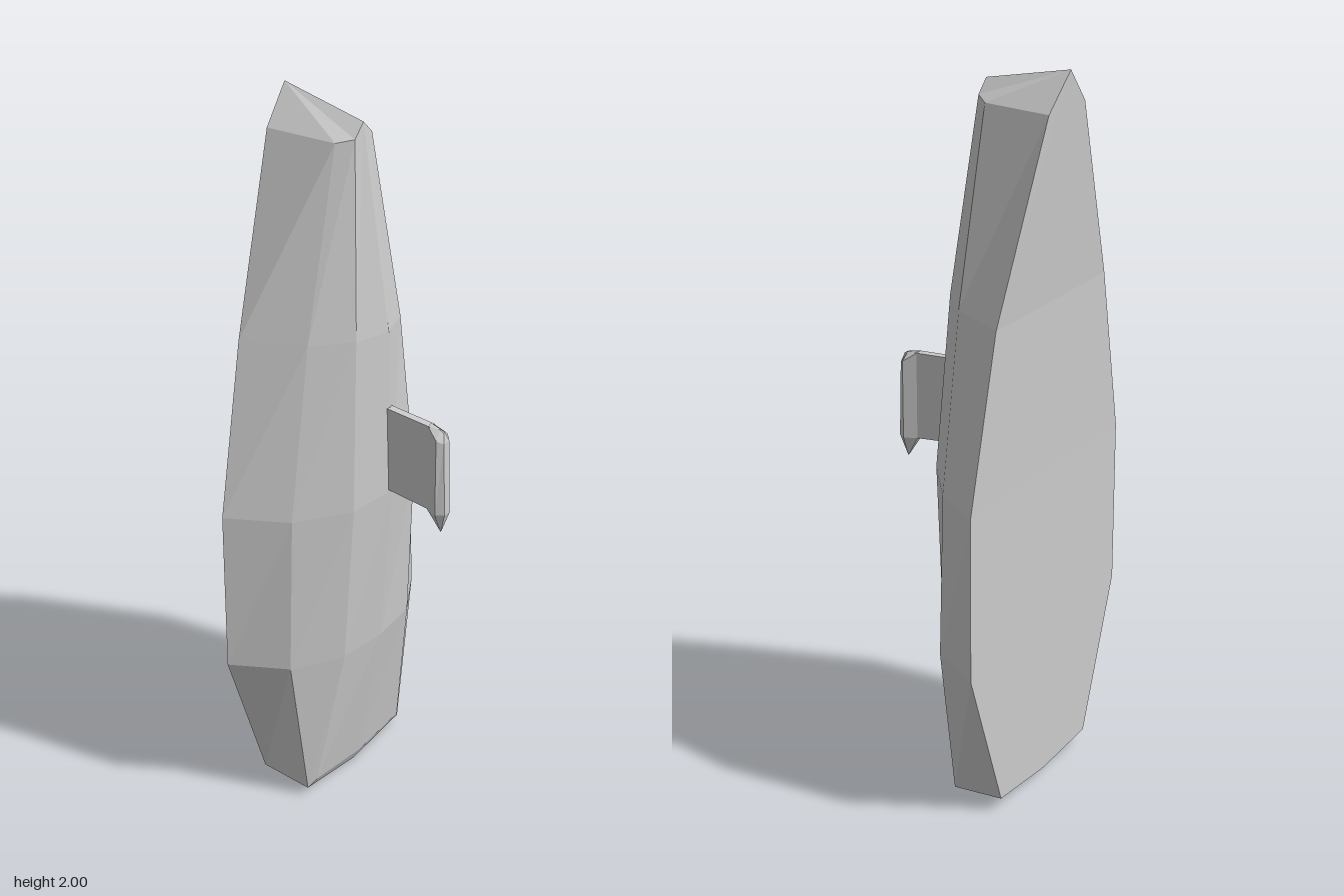
import * as THREE from 'three';

const material = new THREE.MeshStandardMaterial({ color: 0xcccccc, flatShading: true });

// Closed loft through mirrored sections; each row lists its +x half from front to back, rows go upward.
function loft(name, rows) {
  const rings = rows.map((half) => {
    const pts = half.map((p) => new THREE.Vector3(...p));
    const mirrored = pts.filter((p) => p.x > 0).reverse().map((p) => new THREE.Vector3(-p.x, p.y, p.z));
    return [...pts, ...mirrored];
  });
  const n = rings[0].length;
  const positions = [];
  const tri = (a, b, c) => {
    const area = b.clone().sub(a).cross(c.clone().sub(a)).length();
    if (area > 1e-8) for (const p of [a, b, c]) positions.push(p.x, p.y, p.z);
  };
  // Side faces
  for (let i = 0; i < rings.length - 1; i++) {
    for (let j = 0; j < n; j++) {
      const k = (j + 1) % n;
      tri(rings[i][j], rings[i][k], rings[i + 1][k]);
      tri(rings[i][j], rings[i + 1][k], rings[i + 1][j]);
    }
  }
  // End caps, fanned from the rear point
  const bottom = rings[0], top = rings[rings.length - 1];
  const hub = rows[0].length - 1;
  for (let j = 1; j < n - 1; j++) {
    const a = (hub + j) % n, b = (hub + j + 1) % n;
    tri(bottom[hub], bottom[b], bottom[a]);
    tri(top[hub], top[a], top[b]);
  }
  const geometry = new THREE.BufferGeometry();
  geometry.setAttribute('position', new THREE.Float32BufferAttribute(positions, 3));
  geometry.computeVertexNormals();
  const mesh = new THREE.Mesh(geometry, material);
  mesh.name = name;
  return mesh;
}

export function createModel() {
  const group = new THREE.Group();
  group.name = 'facetedShell';

  // Shell: centre ridge, inner ridge, outer ridge, back edge, back centre
  group.add(loft('shell', [
    [[0, 0.005, -0.05], [0.107, 0.018, -0.05], [0.213, 0.03, -0.05], [0.215, 0.045, -0.2], [0, 0.03, -0.2]],
    [[0, 0.04, -0.032], [0.19, 0.055, -0.035], [0.213, 0.03, -0.05], [0.215, 0.045, -0.2], [0, 0.03, -0.2]],
    [[0, 0.47, 0.045], [0.145, 0.47, 0.03], [0.28, 0.47, -0.05], [0.362, 0.47, -0.2], [0, 0.47, -0.2]],
    [[0, 0.94, 0.079], [0.135, 0.93, 0.055], [0.262, 0.92, -0.05], [0.362, 0.93, -0.2], [0, 0.93, -0.2]],
    [[0, 1.4, 0.067], [0.095, 1.4, 0.035], [0.185, 1.4, -0.05], [0.262, 1.4, -0.21], [0, 1.4, -0.21]],
    [[0, 1.948, -0.012], [0.035, 1.912, -0.012], [0.065, 1.903, -0.05], [0.085, 1.905, -0.246], [0, 2, -0.255]],
  ]));

  // Thin fin joining the front ridge to the grip
  group.add(loft('fin', [
    [[0.011, 0.93, 0.205], [0.011, 0.948, 0.05]],
    [[0.011, 1.175, 0.205], [0.011, 1.187, 0.05]],
  ]));

  // Hexagonal grip with a pointed lower end and a bevelled top
  group.add(loft('grip', [
    [[0.001, 0.87, 0.238], [0.001, 0.87, 0.237], [0.001, 0.87, 0.236]],
    [[0.012, 0.93, 0.256], [0.026, 0.93, 0.235], [0.011, 0.93, 0.2]],
    [[0.012, 1.14, 0.25], [0.026, 1.15, 0.235], [0.011, 1.175, 0.2]],
    [[0.003, 1.166, 0.243], [0.003, 1.172, 0.232], [0.003, 1.179, 0.2]],
  ]));
  return group;
}
